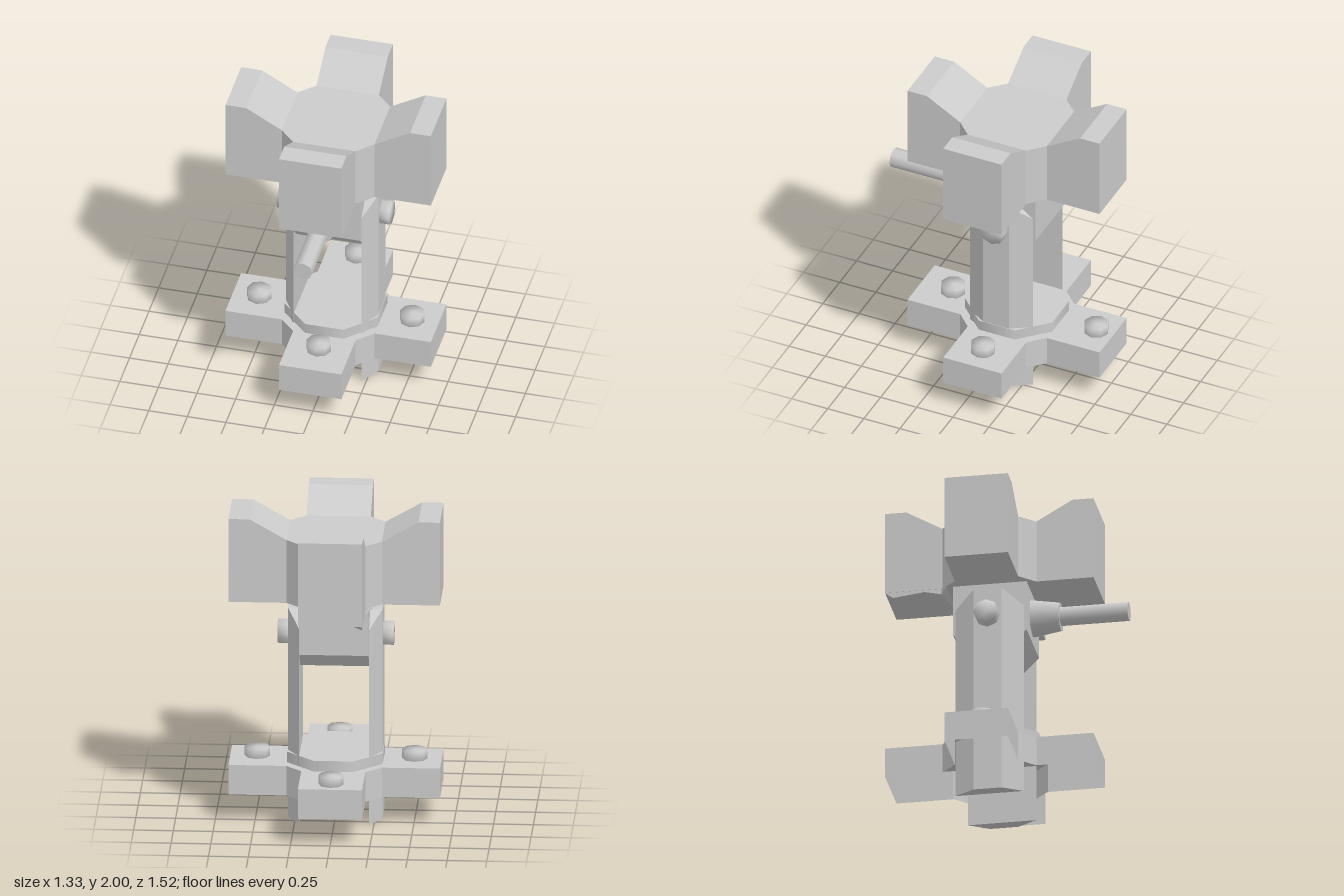
import * as THREE from 'three';
import { ConvexGeometry } from 'three/addons/geometries/ConvexGeometry.js';
import { mergeVertices } from 'three/addons/utils/BufferGeometryUtils.js';

const CZ = -0.096; // z of the vertical axis
const flat = new THREE.MeshStandardMaterial({ color: 0xcccccc, flatShading: true });
const smooth = new THREE.MeshStandardMaterial({ color: 0xcccccc });
const thin = new THREE.MeshStandardMaterial({ color: 0xcccccc, flatShading: true, side: THREE.DoubleSide });

function add(parent, name, geometry, material = flat) {
  const mesh = new THREE.Mesh(geometry, material);
  mesh.name = name;
  parent.add(mesh);
  return mesh;
}

const shapeOf = (pts) => new THREE.Shape(pts.map(([x, y]) => new THREE.Vector2(x, y)));

// Extrudes a closed outline along z, centred on z = 0
function slab(pts, depth) {
  return new THREE.ExtrudeGeometry(shapeOf(pts), { depth, bevelEnabled: false }).translate(0, 0, -depth / 2);
}

// Short eight-sided stud whose shading runs smoothly over its rim
function stud(radius, height) {
  const g = new THREE.CylinderGeometry(radius, radius, height, 8);
  g.deleteAttribute('normal');
  g.deleteAttribute('uv');
  const welded = mergeVertices(g);
  welded.computeVertexNormals();
  return welded;
}

// Cross outline with chamfered inner corners, counter-clockwise
function crossOutline() {
  const quarter = [[0.3, -0.202], [0.665, -0.202], [0.665, 0.202], [0.3, 0.202]];
  const pts = [];
  for (let i = 0; i < 4; i++) {
    const c = Math.round(Math.cos(i * Math.PI / 2)), s = Math.round(Math.sin(i * Math.PI / 2));
    for (const [x, y] of quarter) pts.push([x * c - y * s, x * s + y * c]);
  }
  return pts;
}

// Side walls of an outline between two heights
function walls(pts, y0, y1) {
  const pos = [];
  pts.forEach(([ax, ay], i) => {
    const [bx, by] = pts[(i + 1) % pts.length];
    pos.push(ax, y0, -ay, bx, y0, -by, bx, y1, -by);
    pos.push(ax, y0, -ay, bx, y1, -by, ax, y1, -ay);
  });
  const g = new THREE.BufferGeometry();
  g.setAttribute('position', new THREE.Float32BufferAttribute(pos, 3));
  g.computeVertexNormals();
  return g;
}

export function createModel() {
  const model = new THREE.Group();
  model.name = 'crossHeadStand';

  // Base: cross-shaped cover, open underneath
  const base = new THREE.Group();
  base.name = 'base';
  base.position.z = CZ;
  model.add(base);
  const outline = crossOutline();
  add(base, 'baseWalls', walls(outline, 0.18, 0.375), thin);
  add(base, 'baseTop', new THREE.ShapeGeometry(shapeOf(outline)).rotateX(-Math.PI / 2).translate(0, 0.375, 0), thin);
  add(base, 'baseDisc', new THREE.CylinderGeometry(0.326, 0.326, 0.07, 8).rotateY(Math.PI / 8).translate(0, 0.41, 0), smooth);

  // Bolts, their lower ends just through the cover
  for (const [x, z] of [[-0.495, -0.09], [0.495, -0.09], [0, 0.347], [0, -0.645]]) {
    add(model, 'bolt', stud(0.08, 0.085), smooth).position.set(x, 0.3925, z);
  }

  // Legs with chamfered outer edges, and the pins through their tops
  for (const side of [-1, 1]) {
    const pts = [];
    for (const z of [-1, 1]) {
      pts.push(
        new THREE.Vector3(side * 0.298, 0, z * 0.09), new THREE.Vector3(side * 0.298, 1.385, z * 0.09),
        new THREE.Vector3(side * 0.22, 0, z * 0.218), new THREE.Vector3(side * 0.22, 1.285, z * 0.218),
        new THREE.Vector3(side * 0.22, 1.385, z * 0.09));
    }
    add(model, side > 0 ? 'leftLeg' : 'rightLeg', new ConvexGeometry(pts)).position.z = -0.09;
    add(model, 'sidePin', stud(0.08, 0.09).rotateZ(Math.PI / 2), smooth)
      .position.set(side * 0.32, 1.2, -0.09);
  }

  // Neck block with bevelled lower edges, held between the legs
  const neck = [[-0.235, 1.455], [-0.235, 1.12], [-0.135, 1.02], [0.135, 1.02], [0.235, 1.12], [0.235, 1.455]];
  add(model, 'neckBlock', slab(neck, 0.436).rotateY(Math.PI / 2)).position.z = -0.09;

  // Handle: tapered collar and rod
  add(model, 'handleCollar', new THREE.CylinderGeometry(0.095, 0.125, 0.18, 8).rotateX(Math.PI / 2), smooth)
    .position.set(0, 1.292, 0.235);
  add(model, 'handleRod', new THREE.CylinderGeometry(0.063, 0.063, 0.435, 8).rotateX(Math.PI / 2), smooth)
    .position.set(0, 1.292, 0.5425);

  // Head: eight-sided core with four arms rising outwards
  const head = new THREE.Group();
  head.name = 'head';
  head.position.z = CZ;
  model.add(head);
  const core = outline.filter(([x, y]) => Math.max(Math.abs(x), Math.abs(y)) < 0.4);
  add(head, 'headCore', slab(core, 0.415).rotateX(-Math.PI / 2).translate(0, 1.6605, 0));
  const arm = [[0.3, 1.453], [0.665, 1.453], [0.665, 2], [0.53, 2], [0.3, 1.868]];
  for (let i = 0; i < 4; i++) add(head, 'headArm', slab(arm, 0.404)).rotation.y = i * Math.PI / 2;

  // Shallow folded fan under the back arm
  const apex = [0.2, 1.45, -0.36];
  const rim = [[-0.25, 1.45, -0.36], [-0.2, 1.415, -0.4], [-0.2, 1.44, -0.51], [-0.2, 1.415, -0.71], [-0.2, 1.45, -0.76]];
  const fan = [];
  for (let i = 0; i < rim.length - 1; i++) {
    const a = rim[i], b = rim[i + 1];
    const au = [a[0], 1.453, a[2]], bu = [b[0], 1.453, b[2]];
    fan.push(...apex, ...a, ...b, ...a, ...au, ...bu, ...a, ...bu, ...b);
  }
  const fanGeometry = new THREE.BufferGeometry();
  fanGeometry.setAttribute('position', new THREE.Float32BufferAttribute(fan, 3));
  fanGeometry.computeVertexNormals();
  add(model, 'armUndersideFold', fanGeometry, thin);

  return model;
}
